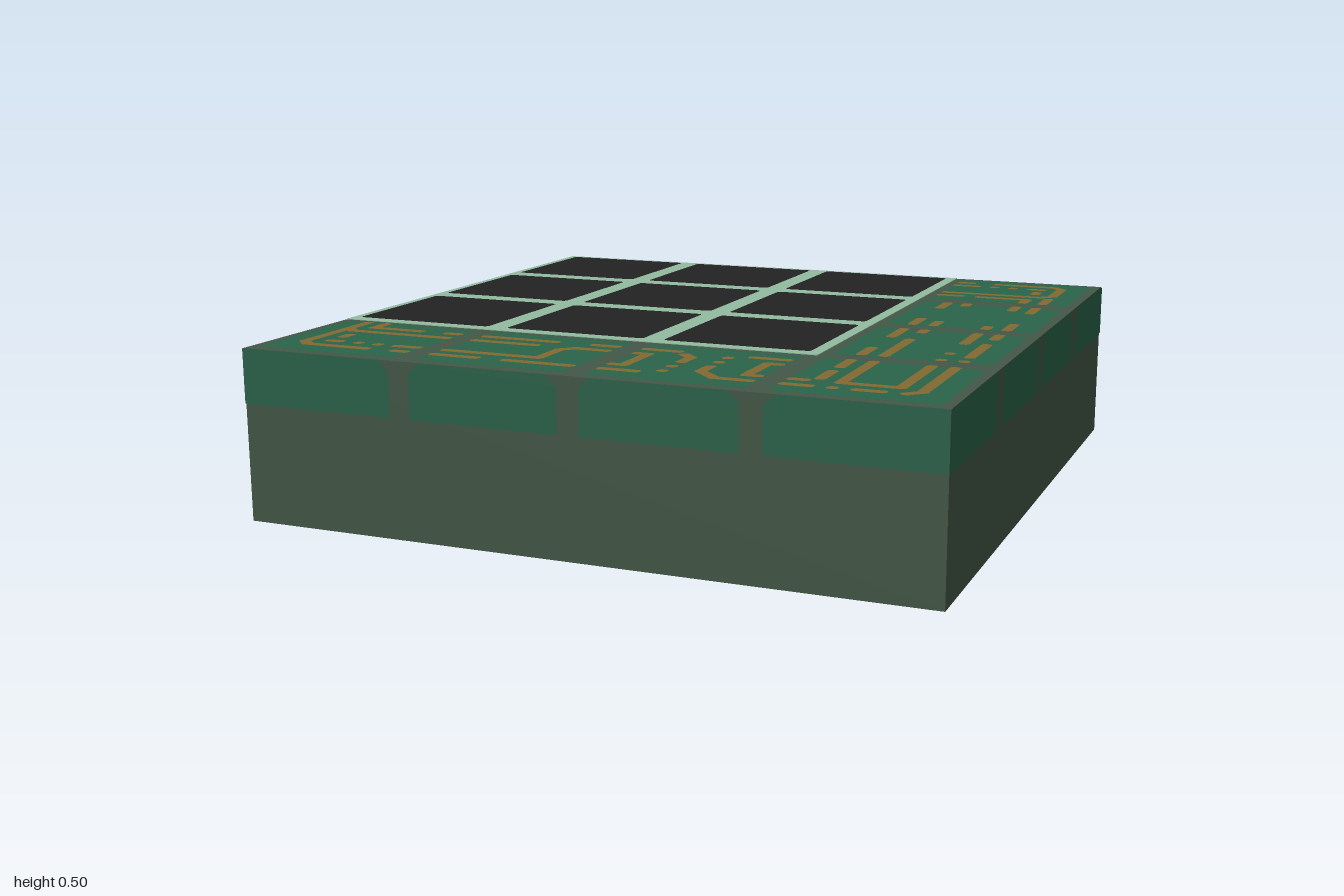
import * as THREE from 'three';
import { mergeGeometries } from 'three/addons/utils/BufferGeometryUtils.js';

const U = 1 / 32;      // one small grid cell; every tile is 16 cells wide
const E = 0.997;       // half width of the solid parts, leaving room for thin plates

const mat = (name, color) => {
  const m = new THREE.MeshStandardMaterial({ color });
  m.name = name;
  return m;
};

// Flat polygon from corner points, facing +z
const flat = (pts) => new THREE.ShapeGeometry(new THREE.Shape(pts.map((p) => new THREE.Vector2(...p))));

// Rectangle with separately cut bottom, top-left and top-right corners
function plate(x0, x1, y0, y1, bottom, tl, tr) {
  const pts = [[x0 + bottom, y0], [x1 - bottom, y0], [x1, y0 + bottom], [x1, y1 - tr],
    [x1 - tr, y1], [x0 + tl, y1], [x0, y1 - tl], [x0, y0 + bottom]];
  return flat(pts.filter((p, i) => {
    const q = pts[(i + 1) % pts.length];
    return p[0] !== q[0] || p[1] !== q[1];
  }));
}

// Turns a plate that faces +z onto a side of the slab
const turn = {
  front: (g) => g.translate(0, 0, 1),
  right: (g) => g.translate(0, 0, 1).rotateY(Math.PI / 2),
  back: (g) => g.translate(0, 0, 1).rotateY(Math.PI),
  left: (g) => g.translate(0, 0, 1).rotateY(-Math.PI / 2),
};
const toTop = (g, y) => g.rotateX(-Math.PI / 2).translate(0, y, 0);
const toBottom = (g) => g.rotateX(Math.PI / 2);

// Copper paths in grid cells: x, z pairs; a single pair is a dot
const backTraces = [[49, 3, 50, 3], [53, 3, 59, 3, 60, 4, 60, 9, 59, 10, 49, 10], [60, 11, 60, 14],
  [49, 5, 51, 5], [53, 5], [55, 5], [57, 5, 58, 5], [58, 7, 58, 8], [49, 12, 51, 12], [53, 12, 58, 12, 58, 14]];
const sideTraces = [[51, 17, 51, 20], [51, 27, 51, 30], [53, 17, 53, 18], [53, 28, 53, 30],
  [58, 17, 58, 19], [58, 29, 58, 30], [60, 17, 60, 20], [60, 27, 60, 30],
  [51, 33, 51, 37], [51, 43, 51, 46], [53, 33, 53, 34], [53, 38, 53, 46], [58, 33, 58, 38],
  [58, 43], [58, 46], [60, 33, 60, 35], [60, 38, 60, 44], [60, 46]];
const cornerTraces = [[49, 60, 51, 60], [53, 60], [55, 60, 57, 60], [60, 49, 60, 59, 59, 60],
  [49, 58, 50, 58], [53, 49, 53, 58, 58, 58, 58, 49], [51, 49, 51, 52], [51, 54, 51, 57]];
const frontTraces = [[3, 49, 3, 59, 4, 60, 10, 60], [5, 49, 5, 51, 10, 51], [3, 52, 4, 53, 14, 53],
  [5, 55, 5, 56], [5, 58, 6, 58], [8, 58], [10, 58], [12, 58, 14, 58], [13, 60, 14, 60], [13, 51, 14, 51],
  [17, 51, 24, 51], [28, 51, 30, 51], [17, 53, 23, 53], [17, 58, 26, 58, 26, 54, 27, 53, 30, 53],
  [17, 60, 21, 60], [24, 60, 30, 60]];
const middleTraces = [[33, 51, 36, 51], [37, 52, 38, 53, 38, 55], [38, 57], [38, 59], [41, 52], [41, 54],
  [41, 56, 41, 58, 43, 60, 46, 60], [33, 53, 34, 53, 34, 58, 33, 58], [33, 60, 36, 60],
  [43, 51, 46, 51], [46, 53, 45, 53, 45, 58, 46, 58]];

// One strip per straight run, with cut ends that overlap at the bends
function tracePieces(path) {
  const pieces = [];
  const pos = (c) => (c + 0.5) * U - 1;
  for (let i = 0; i === 0 || i + 3 < path.length; i += 2) {
    const [x0, z0, x1 = x0, z1 = z0] = path.slice(i, i + 4);
    const half = (Math.hypot(x1 - x0, z1 - z0) + 1) * U / 2;
    const c = U * 0.25;
    const g = plate(-half, half, -U / 2, U / 2, c, c, c);
    g.rotateZ(Math.atan2(z0 - z1, x1 - x0));
    toTop(g, 0.5).translate((pos(x0) + pos(x1)) / 2, 0, (pos(z0) + pos(z1)) / 2);
    pieces.push(g);
  }
  return pieces;
}

export function createModel() {
  const model = new THREE.Group();
  model.name = 'circuitSlab';
  const casing = mat('grey green casing', 0x435747);
  const board = mat('circuit green', 0x2a634a);
  const frame = mat('pale green frame', 0x93bca2);
  const dark = mat('black panel', 0x222222);
  const copper = mat('copper', 0x826a30);
  const add = (name, geometry, material) => {
    const m = new THREE.Mesh(geometry, material);
    m.name = name;
    model.add(m);
  };

  // L-shaped casing round the front and the left side
  const outline = [[-E, -E], [E, -E], [E, E], [0.5, E], [0.5, -0.5], [-E, -0.5]];
  const ell = new THREE.Shape(outline.map((p) => new THREE.Vector2(...p)));
  const ellGeo = new THREE.ExtrudeGeometry(ell, { depth: 0.494, bevelEnabled: false });
  add('casing', toTop(ellGeo, 0.002), casing);

  // Pale block that fills the back corner
  add('panelFrame', new THREE.BoxGeometry(E + 0.5, 0.496, E + 0.5)
    .translate((0.5 - E) / 2, 0.25, (0.5 - E) / 2), frame);

  // Black panels on every outer face of the block
  const square = () => plate(-7 * U, 7 * U, -7 * U, 7 * U, 0.008, 0.008, 0.008);
  const panels = [];
  for (let i = 0; i < 3; i++) {
    const a = -0.75 + i * 0.5;
    for (let j = 0; j < 3; j++) {
      const b = -0.75 + j * 0.5;
      panels.push(toTop(square(), 0.5).translate(a, 0, b));
      panels.push(toBottom(square()).translate(a, 0, b));
    }
    panels.push(turn.back(square().translate(-a, 0.25, 0)));
    panels.push(turn.left(square().translate(a, 0.25, 0)));
  }
  add('blackPanels', mergeGeometries(panels), dark);

  // Green board tiles along the top of the L
  const tiles = [];
  for (let i = 0; i < 4; i++) {
    const a = -0.75 + i * 0.5;
    tiles.push(toTop(square(), 0.498).translate(a, 0, 0.75));
    if (i < 3) tiles.push(toTop(square(), 0.498).translate(0.75, 0, a));
  }
  add('boardTiles', mergeGeometries(tiles), board);

  // Green bands on the sides, running out to the slab's corners
  const band = (i) => {
    const x0 = -1 + i * 0.5 + (i === 0 ? 0.002 : U);
    const x1 = -0.5 + i * 0.5 - (i === 3 ? 0.002 : U);
    return plate(x0, x1, 0.34, 0.496, 0, i === 0 ? 0 : U, i === 3 ? 0 : U);
  };
  const bands = [turn.back(band(0)), turn.left(band(3))];
  for (let i = 0; i < 4; i++) bands.push(turn.front(band(i)), turn.right(band(i)));
  add('sideBands', mergeGeometries(bands), board);

  // Copper traces
  const addTraces = (name, paths) => add(name, mergeGeometries(paths.flatMap(tracePieces)), copper);
  addTraces('backTraces', backTraces);
  addTraces('sideTraces', sideTraces);
  addTraces('cornerTraces', cornerTraces);
  addTraces('frontTraces', frontTraces);
  addTraces('middleTraces', middleTraces);
  return model;
}
